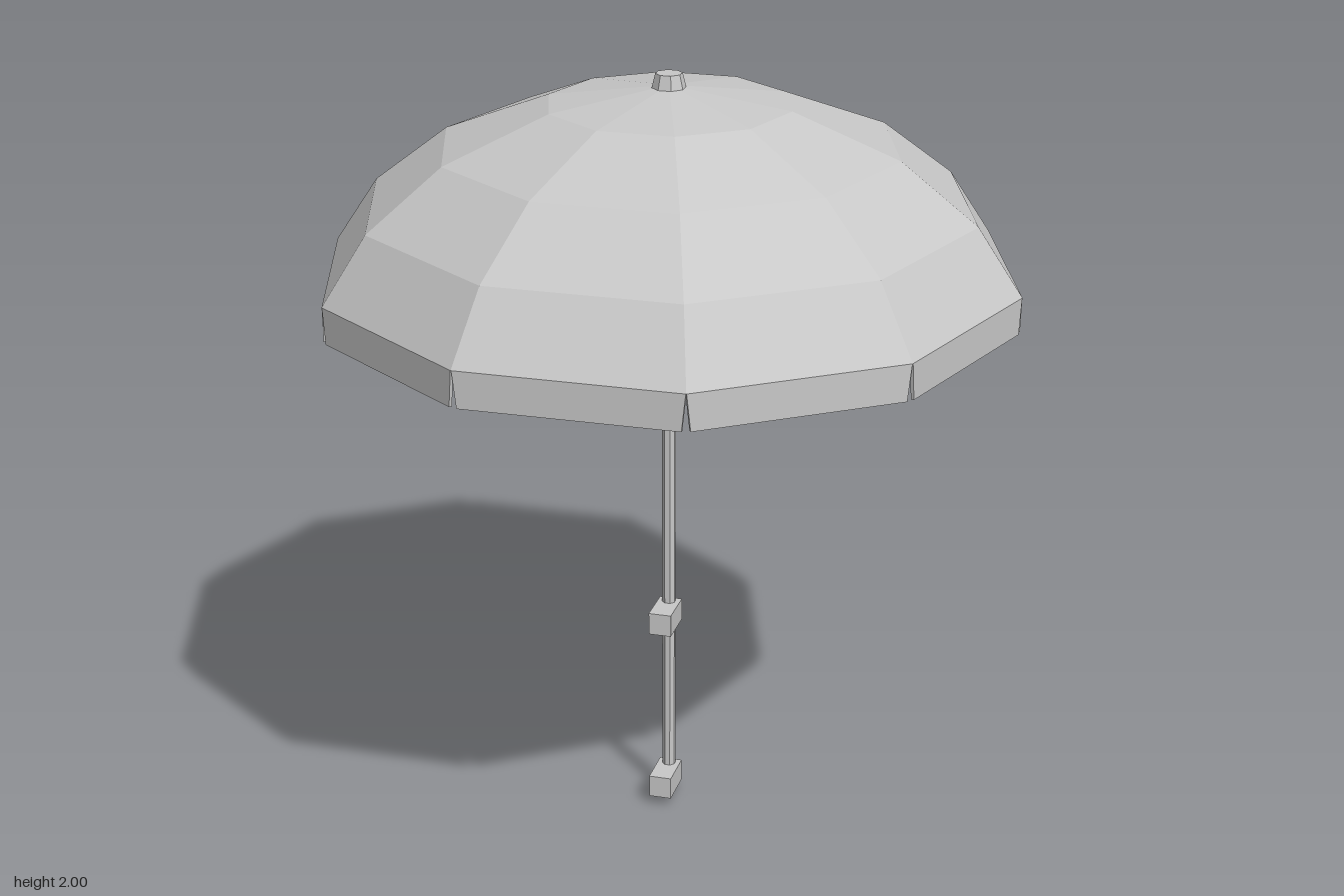
import * as THREE from 'three';

const SIDES = 10;
const STEP = (Math.PI * 2) / SIDES;

// Canopy ridge from rim to apex, as radius and height
const RIDGE = [[0.895, 1.5], [0.78, 1.67], [0.585, 1.82], [0.312, 1.925], [0, 1.97]]
  .map(([r, y]) => new THREE.Vector2(r, y));

// Move a profile inward by d along its averaged normals
function inset(points, d) {
  return points.map((p, i) => {
    const a = points[Math.max(i - 1, 0)];
    const b = points[Math.min(i + 1, points.length - 1)];
    const t = b.clone().sub(a).normalize();
    return new THREE.Vector2(Math.max(p.x - t.y * d, 0), p.y + t.x * d);
  });
}

export function createModel() {
  const model = new THREE.Group();
  model.name = 'parasol';
  const grey = new THREE.MeshStandardMaterial({ color: 0xc8c8c8, flatShading: true });
  grey.name = 'grey';

  function add(name, geometry, y = 0, z = 0, parent = model) {
    const mesh = new THREE.Mesh(geometry, grey);
    mesh.name = name;
    mesh.position.set(0, y, z);
    parent.add(mesh);
    return mesh;
  }

  // Canopy: thin faceted shell, inner surface then outer surface
  const shell = [...inset(RIDGE, 0.008).reverse(), ...RIDGE];
  add('canopy', new THREE.LatheGeometry(shell, SIDES, Math.PI / 2));

  // Valance: hanging flaps with small notches between them
  const half = 0.895 * Math.sin(STEP / 2);
  const apothem = 0.895 * Math.cos(STEP / 2);
  const flap = new THREE.Shape([
    new THREE.Vector2(-half + 0.011, 1.408), new THREE.Vector2(half - 0.011, 1.408),
    new THREE.Vector2(half - 0.001, 1.5), new THREE.Vector2(-half + 0.001, 1.5),
  ]);
  const flapGeometry = new THREE.ExtrudeGeometry(flap, { depth: 0.008, bevelEnabled: false });
  flapGeometry.translate(0, 0, apothem - 0.008);

  // Ribs: curved bars under each ridge
  const ribLine = [new THREE.Vector2(0.872, 1.534), ...RIDGE.slice(1, 4), new THREE.Vector2(0.04, 1.964)];
  const ribShape = new THREE.Shape([...inset(ribLine, 0.008), ...inset(ribLine, 0.03).reverse()]);
  const ribGeometry = new THREE.ExtrudeGeometry(ribShape, { depth: 0.026, bevelEnabled: false });
  ribGeometry.translate(0, 0, -0.013);

  for (let i = 0; i < SIDES; i++) {
    add('valanceFlap', flapGeometry).rotation.y = i * STEP;
    add('rib', ribGeometry).rotation.y = i * STEP;
  }

  // Pole, hub and finial
  const turn = Math.PI / 8;
  add('pole', new THREE.CylinderGeometry(0.018, 0.018, 1.95, 8), 0.975).rotation.y = turn;
  add('hub', new THREE.CylinderGeometry(0.055, 0.055, 0.09, 8), 1.905).rotation.y = turn;
  add('finial', new THREE.CylinderGeometry(0.034, 0.043, 0.036, 8), 1.982).rotation.y = turn;

  // Mounting clamps on the pole
  for (const y of [0.055, 0.54]) {
    const clamp = new THREE.Group();
    clamp.name = 'clamp';
    clamp.position.y = y;
    add('clampBlock', new THREE.BoxGeometry(0.06, 0.06, 0.11), 0, 0.035, clamp);
    add('clampCollar', new THREE.CylinderGeometry(0.031, 0.031, 0.042, 8), 0, 0, clamp).rotation.y = turn;
    model.add(clamp);
  }
  return model;
}
